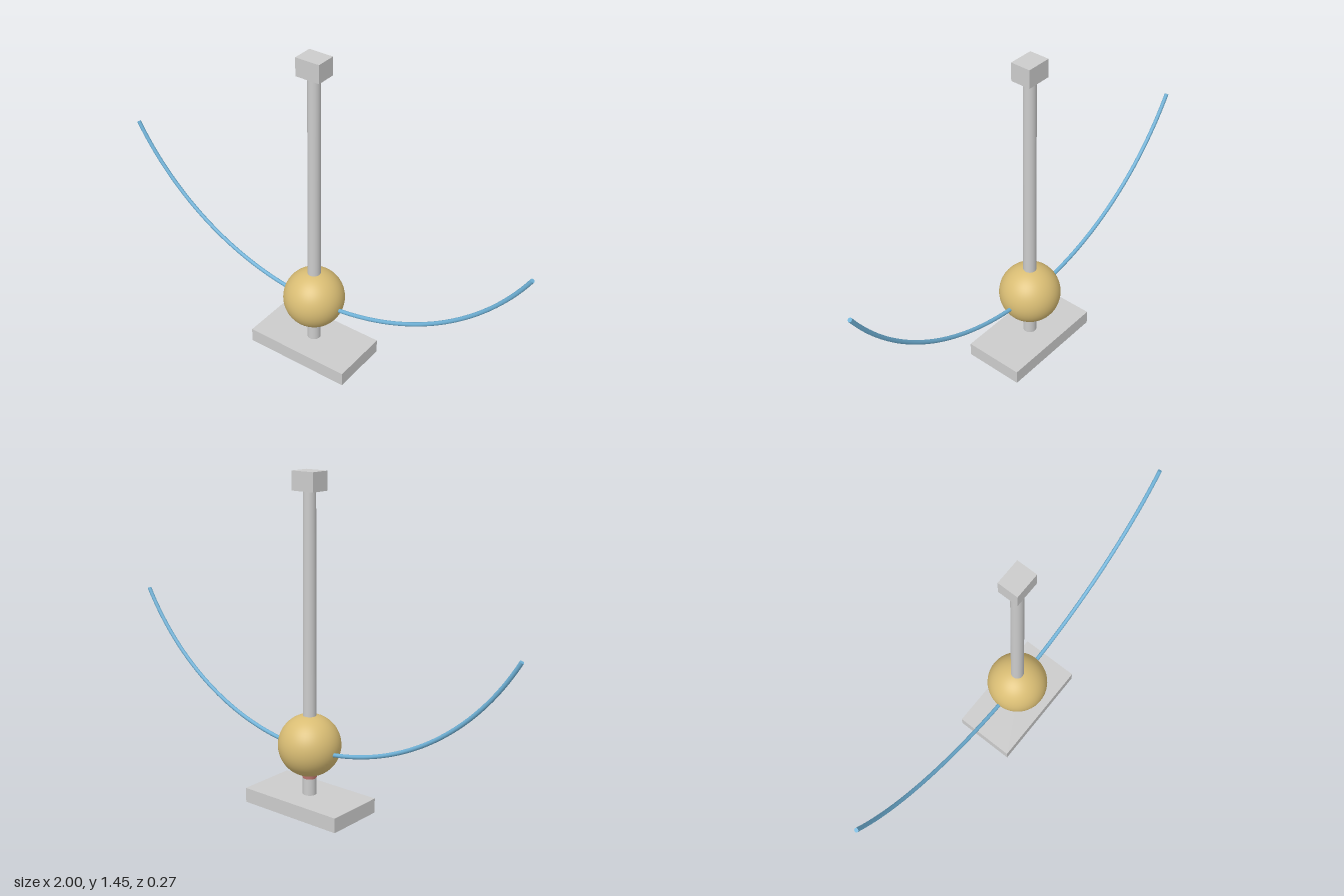
import * as THREE from 'three';

export function createModel() {
  const model = new THREE.Group();
  const grey = new THREE.MeshStandardMaterial({ color: 0xcccccc });
  const coloured = (color) => new THREE.MeshStandardMaterial({ color });

  function add(name, geometry, y, material = grey) {
    const mesh = new THREE.Mesh(geometry, material);
    mesh.name = name;
    mesh.position.y = y;
    model.add(mesh);
    return mesh;
  }

  const pivotY = 1.41;

  // Stand: foot plate, slightly tapered post and pivot block
  add('base', new THREE.BoxGeometry(0.5, 0.065, 0.272), 0.0325);
  add('post', new THREE.CylinderGeometry(0.0265, 0.03, 1.33, 32), 0.72);
  add('pivotBlock', new THREE.BoxGeometry(0.112, 0.08, 0.09), pivotY);

  // Bob with a downward-pointing tip emerging below it
  add('bob', new THREE.SphereGeometry(0.136, 48, 32), 0.288, coloured(0xd9bd74));
  const tip = add('bobTip', new THREE.ConeGeometry(0.046, 0.115, 24), 0.1225, coloured(0xd98880));
  tip.rotation.x = Math.PI;

  // Swing path: 60 degrees to each side of the pivot
  class SwingArc extends THREE.Curve {
    getPoint(t, target = new THREE.Vector3()) {
      const a = (t * 2 - 1) * Math.PI / 3;
      return target.set(Math.sin(a) * 1.145, -Math.cos(a) * 1.145, 0);
    }
  }
  const arc = new SwingArc();
  const blue = coloured(0x6fb1d6);
  add('swingArc', new THREE.TubeGeometry(arc, 72, 0.009, 12), pivotY, blue);

  // Flat caps closing the two ends of the path
  for (const side of [-1, 1]) {
    const t = side < 0 ? 0 : 1;
    const end = arc.getPoint(t);
    const cap = add('swingArcCap', new THREE.CircleGeometry(0.009, 12), 0, blue);
    cap.position.set(end.x, pivotY + end.y, 0);
    const outward = arc.getTangent(t).multiplyScalar(side);
    cap.quaternion.setFromUnitVectors(new THREE.Vector3(0, 0, 1), outward);
  }

  return model;
}
